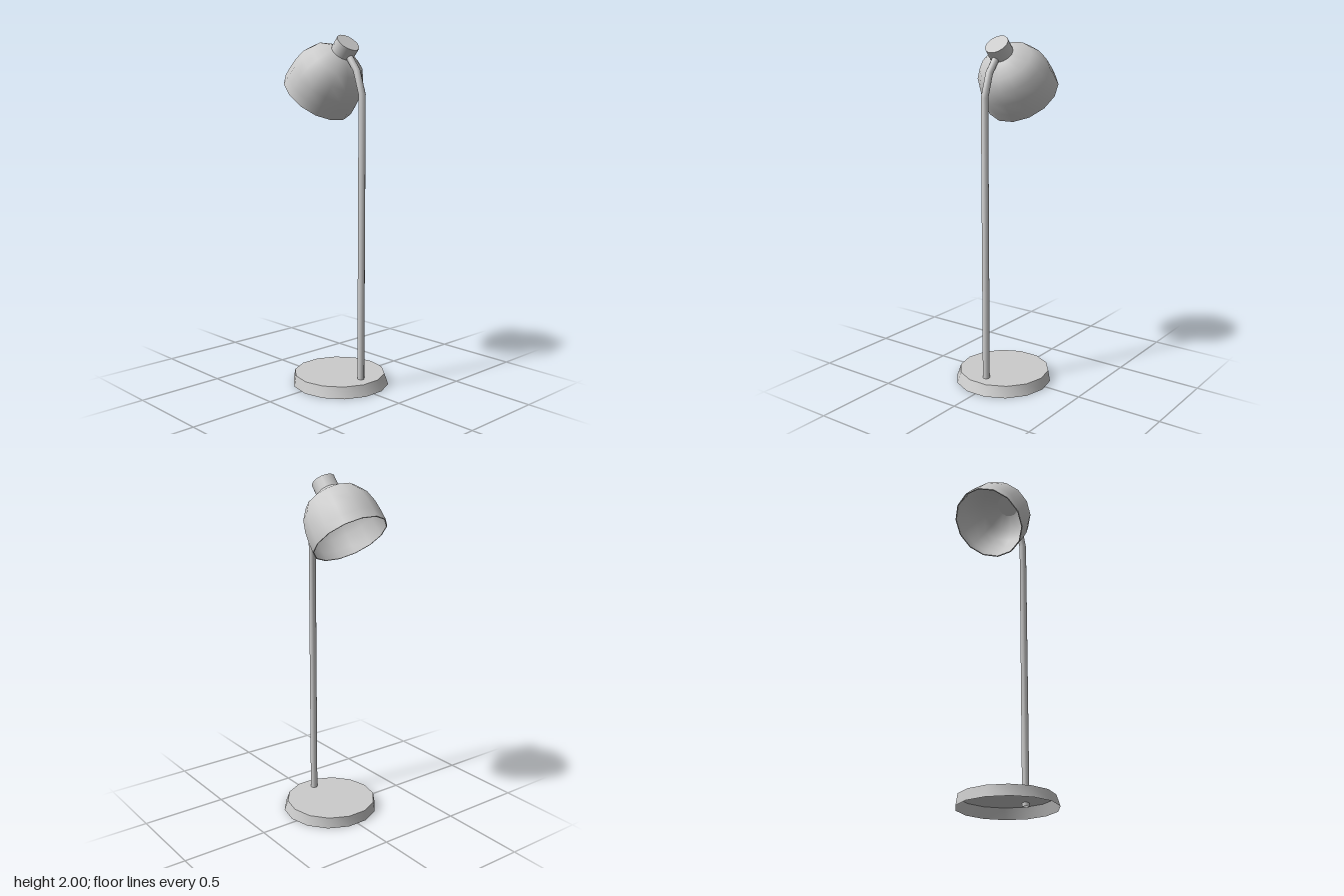
import * as THREE from 'three';
import { toCreasedNormals } from 'three/addons/utils/BufferGeometryUtils.js';

const SIDES = 14;
const TILT = -0.713; // lean of the lamp head about z

// Curve that visits each given point exactly once, keeping the bends angular
class BentPath extends THREE.Curve {
  constructor(points) {
    super();
    this.points = points;
  }
  getPointAt(u, target = new THREE.Vector3()) {
    return target.copy(this.points[Math.round(u * (this.points.length - 1))]);
  }
  getTangentAt(u, target = new THREE.Vector3()) {
    const p = this.points, last = p.length - 1, i = Math.round(u * last);
    const before = p[i].clone().sub(p[Math.max(i - 1, 0)]).normalize();
    const after = p[Math.min(i + 1, last)].clone().sub(p[i]).normalize();
    return target.copy(before.add(after).normalize());
  }
}

function lathe(profile) {
  return new THREE.LatheGeometry(profile.map(([r, y]) => new THREE.Vector2(r, y)), SIDES);
}

export function createModel() {
  const model = new THREE.Group();
  model.name = 'floorLamp';
  const material = new THREE.MeshStandardMaterial({ color: 0xcccccc, side: THREE.DoubleSide });

  const add = (parent, name, geometry) => {
    const mesh = new THREE.Mesh(geometry, material);
    mesh.name = name;
    parent.add(mesh);
    return mesh;
  };

  // Hollow base: tapered skirt and flat top, open underneath, top set slightly off centre
  const baseGeometry = lathe([[0.28, 0], [0.264, 0.062], [0, 0.062]]);
  const pos = baseGeometry.attributes.position;
  for (let i = 0; i < pos.count; i++) {
    if (pos.getY(i) > 0.01) pos.setX(i, pos.getX(i) - 0.009);
  }
  add(model, 'base', toCreasedNormals(baseGeometry, 0.6)).position.x = 0.037;

  // Pole, bending over at the top into the head
  const polePath = new BentPath([
    [0.205, 0.04], [0.205, 1.672], [0.162, 1.802], [0.112, 1.865], [0.07, 1.915],
  ].map(([x, y]) => new THREE.Vector3(x, y, 0)));
  add(model, 'pole', new THREE.TubeGeometry(polePath, 4, 0.02, 10));

  // Tilted head, with its origin at the centre of the shade opening
  const head = new THREE.Group();
  head.name = 'head';
  head.position.set(-0.151, 1.667, 0);
  head.rotation.z = TILT;
  model.add(head);

  // Thin-walled dome shade: outer skin, lip, then inner skin
  const dome = [[0.217, 0], [0.216, 0.055], [0.21, 0.124], [0.193, 0.194], [0.154, 0.255], [0.065, 0.309], [0, 0.318]];
  const inner = dome.map(([r, y]) => [Math.max(r - 0.006, 0), y ? y - 0.006 : 0]).reverse();
  add(head, 'shade', toCreasedNormals(lathe([...inner, ...dome]), 0.9));

  // Socket cap on the crown of the shade
  add(head, 'socketCap', new THREE.CylinderGeometry(0.068, 0.068, 0.079, SIDES)).position.y = 0.338;

  return model;
}
